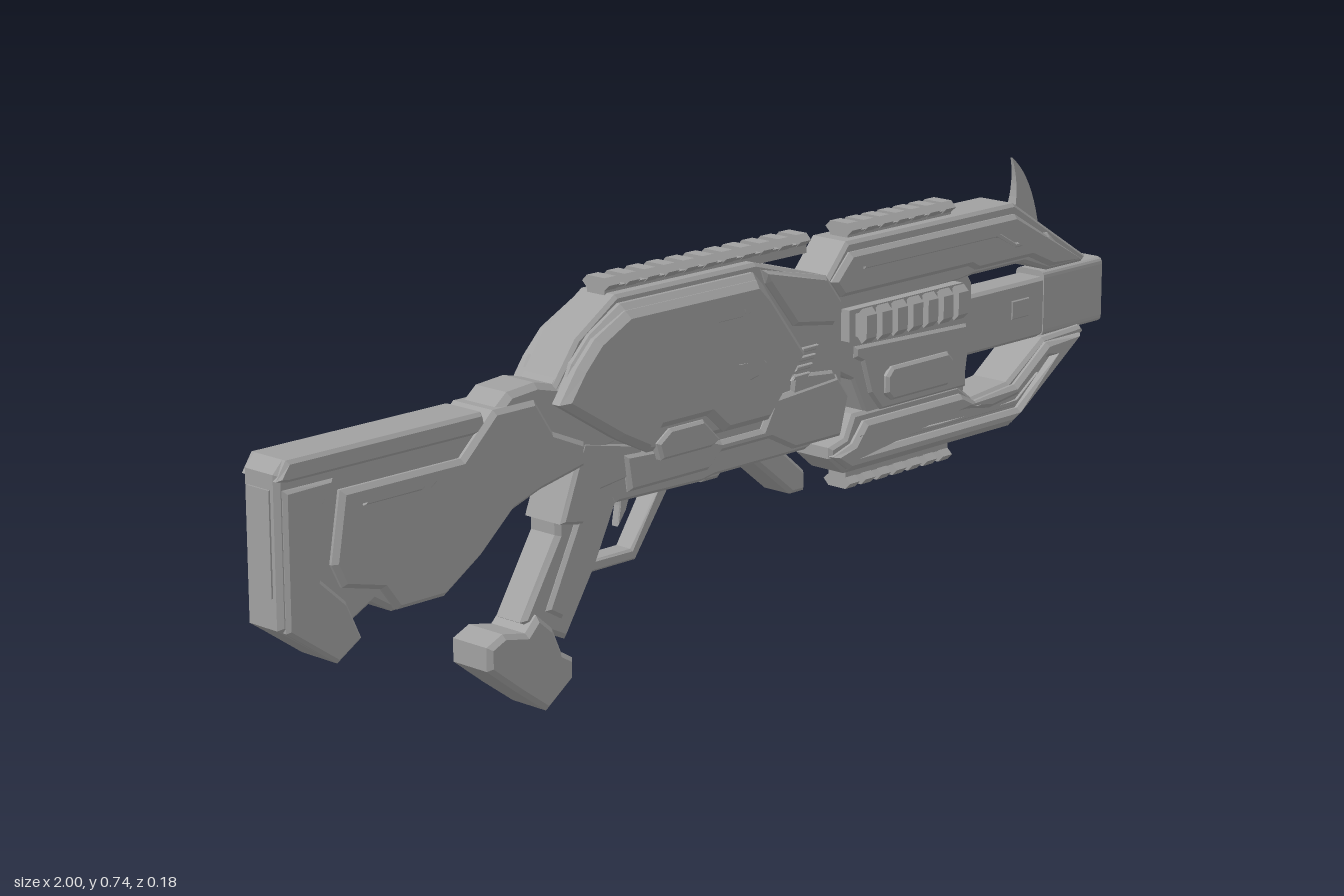
import * as THREE from 'three';

const metal = new THREE.MeshStandardMaterial({ color: 0xa0a0a0 });
metal.name = 'grey metal';

// Outlines are in hundredths of a unit, as [x, y] pairs
const trace = (path, pts) => {
  pts.forEach(([x, y], i) => (i ? path.lineTo(x / 100, y / 100) : path.moveTo(x / 100, y / 100)));
  path.closePath();
  return path;
};

// Slab centred on z = 0, reaching z = +-half, with chamfered edges
function slabGeometry(pts, half, bevel, holes = []) {
  const shape = trace(new THREE.Shape(), pts);
  holes.forEach((h) => shape.holes.push(trace(new THREE.Path(), h)));
  const depth = 2 * (half - bevel);
  const geo = new THREE.ExtrudeGeometry(shape, {
    depth, bevelEnabled: bevel > 0, bevelThickness: bevel, bevelSize: bevel, bevelOffset: -bevel, bevelSegments: 1, curveSegments: 6,
  });
  return geo.translate(0, 0, -depth / 2);
}

function roundedRect(path, w, h, r) {
  path.moveTo(-w + r, -h);
  path.lineTo(w - r, -h); path.quadraticCurveTo(w, -h, w, -h + r);
  path.lineTo(w, h - r); path.quadraticCurveTo(w, h, w - r, h);
  path.lineTo(-w + r, h); path.quadraticCurveTo(-w, h, -w, h - r);
  path.lineTo(-w, -h + r); path.quadraticCurveTo(-w, -h, -w + r, -h);
  return path;
}

// Profile in (z, y) drawn out along x
function alongX(shape, x0, x1) {
  return new THREE.ExtrudeGeometry(shape, { depth: x1 - x0, bevelEnabled: false, curveSegments: 4 })
    .rotateY(Math.PI / 2).translate(x0, 0, 0);
}

// Accessory rail standing on local y = 0, with a row of cross ribs
function rail(name, x0, x1, count) {
  const group = new THREE.Group();
  group.name = name;
  const base = trace(new THREE.Shape(), [[-2, -1], [2, -1], [2, 0.5], [2.5, 1], [-2.5, 1], [-2, 0.5]]);
  const rib = trace(new THREE.Shape(), [[-2, 0.4], [2, 0.4], [3.1, 1.4], [2, 2.5], [-2, 2.5], [-3.1, 1.4]]);
  const bar = new THREE.Mesh(alongX(base, x0, x1), metal);
  bar.name = 'railBase';
  group.add(bar);
  const width = 0.026, pitch = (x1 - x0 - width) / (count - 1);
  for (let i = 0; i < count; i++) {
    const m = new THREE.Mesh(alongX(rib, x0 + i * pitch, x0 + i * pitch + width), metal);
    m.name = 'railRib';
    group.add(m);
  }
  return group;
}

export function createModel() {
  const model = new THREE.Group();
  model.name = 'rifle';
  const add = (name, geo) => {
    const m = new THREE.Mesh(geo, metal);
    m.name = name;
    model.add(m);
    return m;
  };
  const slab = (name, pts, half, bevel = 0.006, holes) => add(name, slabGeometry(pts, half, bevel, holes));

  // Shoulder stock
  slab('stock', [[-100, 51], [-98, 53], [-58, 53], [-57, 51], [-60, 47], [-52, 40], [-59, 30], [-67, 24.5], [-77, 24.5], [-81, 27],
    [-85, 25], [-84, 22], [-89, 19], [-100, 26.5]], 0.04, 0.008);
  slab('stockTopBar', [[-100, 50], [-98, 53], [-58, 53], [-57, 50.5], [-59, 49.5], [-98, 49.5]], 0.045);
  slab('stockButtFrame', [[-99, 48.5], [-89, 48.5], [-91, 45], [-92, 33], [-87, 28.5], [-84, 22], [-89, 19], [-99, 26]], 0.047, 0.006,
    [[[-97, 46], [-93.5, 46], [-94.5, 32], [-90, 27], [-91, 24], [-97, 28.5]]]);
  slab('stockBrace', [[-88, 46.5], [-63, 46.5], [-56, 53], [-47, 53], [-43, 47], [-36, 44], [-36, 40], [-46, 38], [-52, 36],
    [-59, 30], [-67, 25], [-77, 25], [-80, 29], [-88, 31], [-90, 35]], 0.053, 0.008,
  [[[-86, 44.5], [-67, 44.5], [-70, 42.5], [-82, 42.5], [-83, 37], [-86, 35]]]);
  slab('stockInset', [[-82, 45], [-68, 45], [-71, 43], [-83, 43]], 0.046, 0.003);
  const pad = add('buttPad', new THREE.BoxGeometry(0.012, 0.17, 0.05));
  pad.position.set(-0.997, 0.40, 0);

  // Neck joining the stock to the body
  slab('neck', [[-62, 46], [-57, 51], [-52, 55], [-46, 55.5], [-42, 54.5], [-37, 60], [-28, 60], [-28, 42], [-50, 38]], 0.045, 0.01);

  // Body: inner core, outer armour with cut-outs, and trim
  const window1 = [[-11, 61.5], [0, 61.5], [2, 59.5], [0, 58], [-8, 58]];
  const window2 = [[-4, 52], [5, 52], [7, 50], [4, 47], [0, 46.5]];
  slab('receiverCore', [[-43, 53], [-37, 61], [-28, 66.8], [5, 66.8], [22, 62], [27, 55], [27, 36], [18, 32], [-5, 32],
    [-8, 31.5], [-28, 32], [-34, 43]], 0.043, 0.006);
  slab('receiverShell', [[-42, 52], [-39, 57.5], [-35, 61.5], [-28, 65.5], [3.5, 65.5], [6, 63], [14.5, 50.5], [5, 39.5], [-22, 39.5]], 0.06, 0.01);
  slab('receiverArmour', [[-43, 51.5], [-39, 57], [-35, 61], [-28, 64.5], [3, 64.5], [6, 61.5], [15, 50], [6, 40], [-5, 40],
    [-9, 43.5], [-20, 43.5], [-23, 40], [-30, 43.5]], 0.074, 0.012, [window1, window2]);
  slab('upperInset', [[-9.5, 60.8], [-0.5, 60.8], [0.5, 59.6], [-0.5, 58.7], [-7.5, 58.7]], 0.066, 0.003);
  slab('lowerInset', [[-2, 51], [4.5, 51], [5.5, 50], [3.5, 48], [0.8, 47.5]], 0.066, 0.003);
  slab('lowerPanel', [[-21, 41], [-18, 43], [-10, 43], [-6, 39], [-8, 38], [-20, 38]], 0.068, 0.005);
  slab('frontCollar', [[6, 65.5], [22, 62], [26, 57], [24, 53], [14, 54.5], [7, 63]], 0.054, 0.008);
  slab('lowerBody', [[-27, 40], [-7, 39], [-4, 38], [6, 38], [9, 43], [25, 44], [28, 40], [26, 33], [14, 33], [8, 36],
    [-4, 36], [-7, 33.5], [-26, 33.5]], 0.052, 0.007);
  for (let i = 0; i < 4; i++) {
    const y = 45 + i * 1.5, x = 13.5 + i * 0.7;
    slab('coolingSlit', [[x, y], [x + 4, y], [x + 4.6, y + 0.8], [x + 0.6, y + 0.8]], 0.049, 0.002);
  }

  // Hand stop below the body
  slab('handStop', [[-8, 36], [-7, 31], [-3, 31], [-1, 33], [5, 32.5], [15, 24.5], [18.5, 24.5], [18.5, 28], [9, 36]], 0.036, 0.007);

  // Pistol grip and its foot
  slab('grip', [[-33, 43], [-41, 31], [-41, 29], [-49, 16], [-39, 11], [-32, 22], [-27, 32], [-22, 34], [-22, 40]], 0.035, 0.008);
  slab('gripPanel', [[-33, 41], [-36.5, 32], [-44, 17], [-40.5, 15], [-33, 25], [-28, 34], [-26, 40]], 0.042, 0.006);
  slab('gripCollar', [[-36, 44], [-41, 31], [-36, 30], [-32, 35], [-23, 36], [-22, 41]], 0.046, 0.006);
  slab('gripFoot', [[-57.5, 14], [-54, 15.5], [-49, 14.5], [-46.5, 17], [-43, 14], [-41, 9.5], [-38.5, 8], [-38.5, 4.5],
    [-44.5, 0.3], [-51, 5], [-57.5, 10]], 0.047, 0.008);

  // Trigger and guard
  slab('triggerGuard', [[-35, 23], [-33, 20.5], [-21.5, 20.5], [-13, 32], [-13, 34], [-29, 34]], 0.02, 0.004,
    [[[-32, 22.5], [-22.5, 22.5], [-16, 32], [-27, 32]]]);
  slab('trigger', [[-24, 33], [-21, 33], [-22.5, 29], [-24.5, 26.5], [-24, 30]], 0.008, 0.002);

  // Fore-end shrouds: base slab and raised, grooved armour
  slab('upperShroud', [[22, 60], [28, 66.8], [73, 66.8], [94, 54], [93, 53], [83, 53], [76, 55.5], [62, 55.5], [58, 55], [24, 54]], 0.043, 0.006);
  slab('upperShroudArmour', [[23.5, 60.5], [28, 65], [72.5, 65], [92, 53.8], [83, 53.8], [77, 56.5], [62, 56.5], [60, 57.5], [26, 57.5]],
    0.054, 0.008, [[[30, 63], [69, 63], [74, 60.2], [82, 60.2], [85, 57.5], [72, 58.2], [67, 60.8], [30, 60.8]]]);
  slab('upperShroudStrip', [[32, 62.4], [68, 62.4], [73, 59.6], [80, 59.6], [81, 58.8], [72.5, 58.8], [67.5, 61.5], [32, 61.5]], 0.048, 0.002);
  slab('lowerShroud', [[24, 29], [28, 25.7], [73, 25.7], [94, 39.8], [93, 41], [82, 40.5], [72, 34], [62, 33], [58, 36], [30, 36], [28, 32], [24, 31]],
    0.043, 0.006);
  slab('lowerShroudArmour', [[24, 29.5], [28, 26.5], [72.5, 26.5], [92, 39.8], [82, 39.8], [73, 33.5], [62, 32.5], [58, 34.5], [32, 34.5], [29, 31]],
    0.056, 0.008, [[[31, 31.5], [60, 31.5], [66, 30.5], [74, 31.5], [82, 37], [84, 37], [74, 29], [31, 29]]]);
  slab('lowerShroudStrip', [[33, 30.6], [66, 29.8], [74, 30.5], [80, 34.5], [73.5, 29.6], [33, 29.6]], 0.048, 0.001);

  // Central fore-end block with framed vent
  slab('foreBlock', [[22, 57], [60, 57], [62, 54], [62, 46], [60, 34], [34, 34], [30, 42], [22, 46]], 0.04, 0.005);
  slab('foreSidePanel', [[30, 48], [60, 47], [60, 35.5], [37, 35.5], [34, 39], [32, 45], [30, 46]], 0.046, 0.005,
    [[[38, 43], [55, 43], [56, 42], [56, 38], [55, 37], [38, 37], [37, 38], [37, 42]]]);
  slab('ventFrame', [[39, 43], [54, 43], [55.5, 41.5], [55.5, 38.5], [54, 37], [39, 37], [37.5, 38.5], [37.5, 41.5]], 0.055, 0.005,
    [[[41, 41.3], [53, 41.3], [53, 38.7], [41, 38.7]]]);
  slab('foreLink', [[14, 46], [24, 45], [27, 41], [27, 36], [22, 33], [12, 34]], 0.049, 0.005);

  // Barrel and hollow muzzle
  slab('barrel', [[50, 51.5], [84, 51.5], [84, 41], [82, 40.5], [60, 40.5], [50, 42]], 0.031, 0.006);
  slab('barrelMark', [[74, 48.5], [79, 48.5], [79, 45], [74, 45]], 0.033, 0.002);
  const muzzleShape = roundedRect(new THREE.Shape(), 0.033, 0.061, 0.013);
  muzzleShape.holes.push(roundedRect(new THREE.Path(), 0.024, 0.05, 0.009));
  add('muzzle', alongX(muzzleShape, 0.83, 1)).position.y = 0.465;
  const plug = add('bore', new THREE.BoxGeometry(0.02, 0.105, 0.052));
  plug.position.set(0.85, 0.465, 0);

  // Curved front sight fin, thinning toward the tip
  const finShape = new THREE.Shape();
  finShape.moveTo(0.76, 0.62);
  finShape.quadraticCurveTo(0.79, 0.68, 0.77, 0.74);
  finShape.quadraticCurveTo(0.825, 0.70, 0.835, 0.60);
  finShape.closePath();
  const fin = new THREE.ExtrudeGeometry(finShape, { depth: 0.028, bevelEnabled: false, curveSegments: 10 }).translate(0, 0, -0.014);
  const pos = fin.attributes.position;
  for (let i = 0; i < pos.count; i++) {
    pos.setZ(i, pos.getZ(i) * THREE.MathUtils.mapLinear(pos.getY(i), 0.6, 0.74, 1, 0.15));
  }
  fin.computeVertexNormals();
  add('frontSight', fin);

  // Accessory rails on top, underneath and on both sides
  const place = (r, y, z, turn) => {
    r.position.set(0, y, z);
    r.rotation.x = turn;
    model.add(r);
  };
  place(rail('rearTopRail', -0.285, 0.2, 11), 0.668, 0, 0);
  place(rail('frontTopRail', 0.305, 0.58, 7), 0.668, 0, 0);
  place(rail('bottomRail', 0.305, 0.58, 7), 0.245, 0, Math.PI);
  for (const s of [1, -1]) {
    place(rail('sideRail', 0.28, 0.55, 7), 0.525, s * 0.063, s * Math.PI / 2);
    const mount = add('sideRailMount', new THREE.BoxGeometry(0.3, 0.056, 0.03));
    mount.position.set(0.415, 0.525, s * 0.047);
  }
  return model;
}
